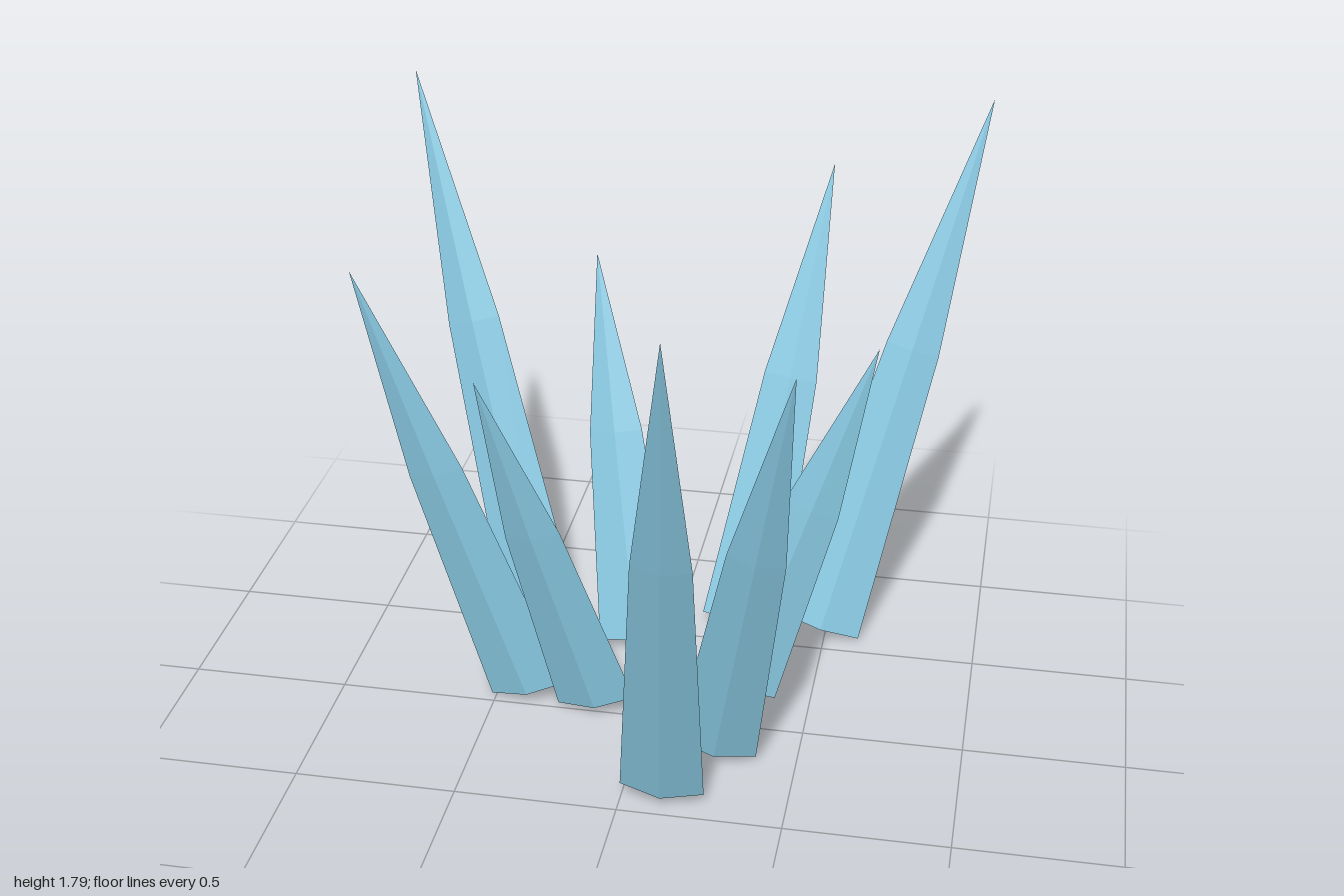
import * as THREE from 'three';

// Unit shard: four-sided spike along y, base at 0, tip at 1, kept broad up to a shoulder
function shardGeometry() {
  const shoulder = 0.545, shoulderWidth = 0.68;
  const geo = new THREE.ConeGeometry(1, 1, 4, 2).toNonIndexed();
  const p = geo.attributes.position;
  for (let i = 0; i < p.count; i++) {
    const y = p.getY(i) + 0.5;
    if (Math.abs(y - 0.5) < 0.01) {
      const k = shoulderWidth / 0.5;
      p.setXYZ(i, p.getX(i) * k, shoulder, p.getZ(i) * k);
    } else {
      p.setY(i, y);
    }
  }
  geo.computeVertexNormals();
  return geo;
}

// Base centre (x, z) and tip (x, y, z) of each shard
const SHARDS = [
  { base: [-0.475, -0.55], tip: [-0.925, 1.79, -0.9] },
  { base: [-0.105, -0.395], tip: [-0.3, 1.265, -0.74] },
  { base: [0.215, -0.565], tip: [0.43, 1.525, -1.0] },
  { base: [0.49, -0.575], tip: [0.925, 1.79, -0.95] },
  { base: [0.265, -0.18], tip: [0.665, 1.265, -0.18] },
  { base: [-0.392, -0.035], tip: [-0.845, 1.53, 0.14] },
  { base: [-0.165, -0.005], tip: [-0.455, 1.27, 0.265] },
  { base: [0.25, 0.185], tip: [0.51, 1.53, 0.6] },
  { base: [0.125, 0.425], tip: [0.22, 1.79, 1.0] },
];

export function createModel() {
  const group = new THREE.Group();
  group.name = 'iceShardCluster';
  const ice = new THREE.MeshStandardMaterial({ color: 0x8acbe4 });
  ice.name = 'iceBlue';
  ice.flatShading = true;
  const geo = shardGeometry();
  const halfWidth = 0.128, halfDepth = 0.036, baseY = 0.04;

  SHARDS.forEach(({ base, tip }, i) => {
    const start = new THREE.Vector3(base[0], baseY, base[1]);
    const axis = new THREE.Vector3(...tip).sub(start);
    const length = axis.length();
    axis.normalize();
    // The broad side stays facing front while the shard leans
    const side = new THREE.Vector3(1, 0, 0).addScaledVector(axis, -axis.x).normalize();
    const normal = new THREE.Vector3().crossVectors(side, axis);
    const shard = new THREE.Mesh(geo, ice);
    shard.name = `iceShard${i + 1}`;
    shard.position.copy(start);
    shard.quaternion.setFromRotationMatrix(new THREE.Matrix4().makeBasis(side, axis, normal));
    shard.scale.set(halfWidth, length, halfDepth);
    group.add(shard);
  });
  return group;
}
